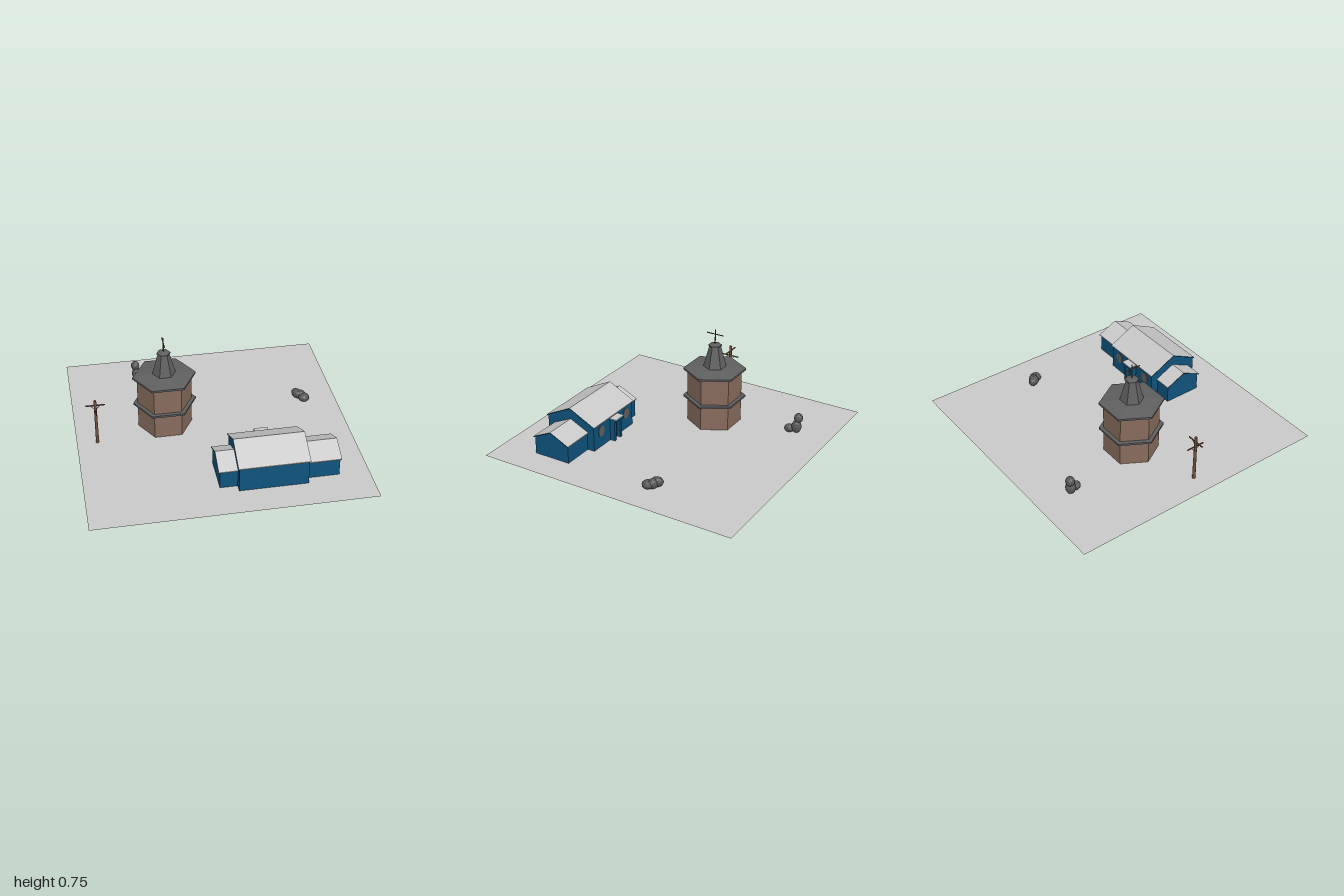
import * as THREE from 'three';

const mat = (name, color, extra = {}) => {
  const m = new THREE.MeshStandardMaterial({ color, ...extra });
  m.name = name;
  return m;
};

export function createModel() {
  const model = new THREE.Group();
  model.name = 'settlement';
  const pale = mat('pale grey', 0xc9c9c9, { side: THREE.DoubleSide });
  const blue = mat('deep blue', 0x0f537c);
  const brown = mat('tower brown', 0x876c5d, { flatShading: true });
  const slate = mat('slate grey', 0x5f5f5f, { flatShading: true });
  const wood = mat('wood brown', 0x70503d);
  const stone = mat('stone grey', 0x58595a, { flatShading: true });
  const GROUND = 0.01;

  const add = (parent, name, geo, material, x = 0, y = 0, z = 0) => {
    const mesh = new THREE.Mesh(geo, material);
    mesh.name = name;
    mesh.position.set(x, y, z);
    parent.add(mesh);
    return mesh;
  };
  const group = (name, x = 0, y = 0, z = 0) => {
    const g = new THREE.Group();
    g.name = name;
    g.position.set(x, y, z);
    model.add(g);
    return g;
  };
  const box = (parent, name, material, w, h, d, x, y, z) =>
    add(parent, name, new THREE.BoxGeometry(w, h, d), material, x, y, z);

  // Ground sheet
  add(model, 'ground', new THREE.PlaneGeometry(2, 2).rotateX(-Math.PI / 2), pale, 0, GROUND, 0);

  // Six-sided tower, corners pointing along x
  const tower = group('tower', -0.33, 0, -0.112);
  const hex = (name, material, rBottom, rTop, y0, y1) =>
    add(tower, name, new THREE.CylinderGeometry(rTop, rBottom, y1 - y0, 6).rotateY(Math.PI / 2),
      material, 0, (y0 + y1) / 2, 0);
  hex('towerWalls', brown, 0.2, 0.2, 0.008, 0.424);
  hex('towerBand', slate, 0.232, 0.232, 0.201, 0.216);
  hex('towerEave', slate, 0.232, 0.232, 0.422, 0.437);
  hex('towerRoof', slate, 0.232, 0.085, 0.437, 0.456);
  hex('spire', slate, 0.085, 0.042, 0.456, 0.618);
  hex('spireCap', slate, 0.05, 0.05, 0.617, 0.626);
  hex('spireCapTop', slate, 0.05, 0.012, 0.626, 0.637);
  add(tower, 'mast', new THREE.CylinderGeometry(0.004, 0.004, 0.115, 8), wood, 0, 0.688, 0);
  add(tower, 'mastCrossbar', new THREE.CylinderGeometry(0.004, 0.004, 0.135, 8).rotateX(Math.PI / 2), wood, 0, 0.71, 0);

  // Utility pole with two crossed bars and braces
  const pole = group('utilityPole', -0.85, 0, 0.042);
  add(pole, 'post', new THREE.CylinderGeometry(0.01, 0.012, 0.367, 10), wood, 0, 0.1915, 0);
  const strut = (name, a, b, r) => {
    const path = new THREE.LineCurve3(new THREE.Vector3(...a), new THREE.Vector3(...b));
    add(pole, name, new THREE.TubeGeometry(path, 1, r, 6), wood);
  };
  box(pole, 'upperBar', wood, 0.14, 0.007, 0.007, 0, 0.335, 0);
  box(pole, 'lowerBar', wood, 0.007, 0.007, 0.14, 0, 0.295, 0);
  for (const s of [-1, 1]) {
    strut('upperBrace', [s * 0.036, 0.333, 0], [s * 0.008, 0.306, 0], 0.002);
    strut('lowerBrace', [0, 0.293, s * 0.036], [0, 0.266, s * 0.008], 0.002);
  }

  // Hall: gabled blocks running along x, each with an overhanging roof sheet
  const hall = group('hall', 0, 0, 0.573);
  const extrudeX = (name, points, x0, x1, material) => {
    const shape = new THREE.Shape(points.map(([z, y]) => new THREE.Vector2(-z, y)));
    const geo = new THREE.ExtrudeGeometry(shape, { depth: x1 - x0, bevelEnabled: false });
    return add(hall, name, geo.rotateY(Math.PI / 2), material, x0, 0, 0);
  };
  const gabled = (name, x0, x1, half, eave, peak, over) => {
    extrudeX(name + 'Walls', [[half, GROUND], [half, eave], [0, peak], [-half, eave], [-half, GROUND]], x0, x1, blue);
    const t = 0.007, h = half + 0.008;
    const drop = 0.008 * (peak - eave) / half;
    extrudeX(name + 'Roof', [
      [h, eave - drop], [h, eave - drop + t], [0, peak + t],
      [-h, eave - drop + t], [-h, eave - drop], [0, peak],
    ], x0 - over[0], x1 + over[1], [blue, pale]);
  };
  gabled('main', 0.055, 0.547, 0.2, 0.2, 0.301, [0.008, 0.008]);
  gabled('longWing', 0.547, 0.781, 0.143, 0.145, 0.213, [0, 0.01]);
  gabled('shortWing', -0.07, 0.055, 0.143, 0.145, 0.213, [0.01, 0]);

  // Rear porch and round windows
  for (const x of [0.263, 0.333]) box(hall, 'porchPost', blue, 0.022, 0.16, 0.04, x, 0.09, -0.22);
  box(hall, 'porchDoor', blue, 0.05, 0.16, 0.014, 0.298, 0.09, -0.204);
  box(hall, 'porchCanopy', blue, 0.1, 0.015, 0.064, 0.298, 0.1755, -0.226);
  box(hall, 'porchRoof', pale, 0.1, 0.004, 0.064, 0.298, 0.185, -0.226);
  for (const x of [0.14, 0.456]) {
    const win = add(hall, 'roundWindow', new THREE.CylinderGeometry(0.036, 0.036, 0.006, 20).rotateX(Math.PI / 2),
      slate, x, 0.135, -0.202);
    win.scale.y = 1.2;
  }

  // Boulders: squashed low-poly lumps, [x, y, z, rx, ry, rz, turn]
  const boulders = (name, list) => {
    const g = group(name);
    for (const [x, y, z, rx, ry, rz, turn] of list) {
      const rock = add(g, 'boulder', new THREE.IcosahedronGeometry(1, 1), stone, x, y, z);
      rock.scale.set(rx, ry, rz);
      rock.rotation.y = turn;
    }
  };
  boulders('rearBoulders', [
    [-0.452, 0.04, -0.685, 0.034, 0.032, 0.04, 0.4],
    [-0.465, 0.06, -0.735, 0.038, 0.052, 0.038, 0.9],
    [-0.475, 0.127, -0.744, 0.034, 0.038, 0.034, 0.2],
  ]);
  boulders('sideBoulders', [
    [0.712, 0.045, -0.264, 0.034, 0.038, 0.048, 0.5],
    [0.738, 0.04, -0.25, 0.034, 0.04, 0.04, 1.2],
    [0.757, 0.034, -0.22, 0.043, 0.033, 0.044, 0.3],
  ]);

  return model;
}
